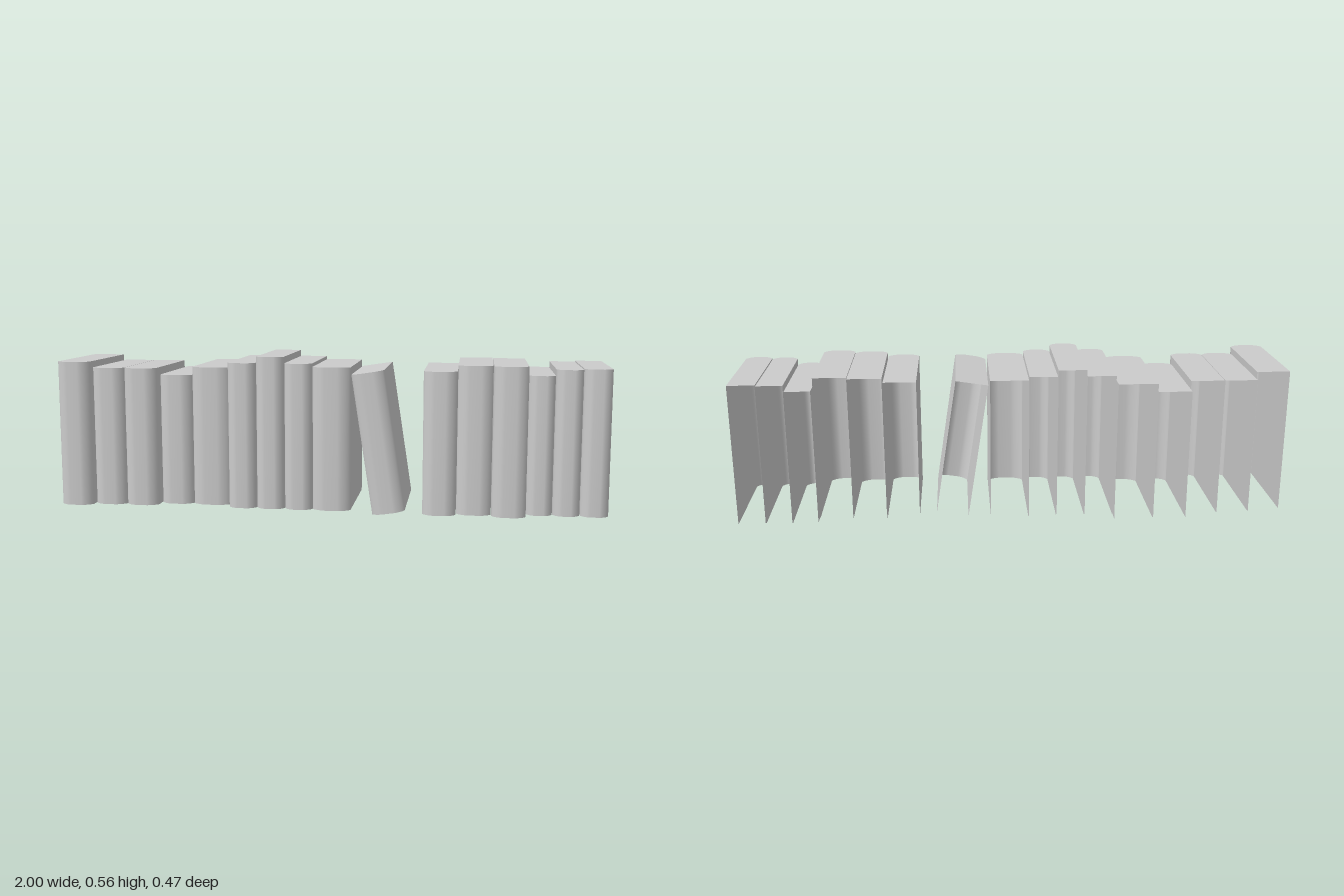
import * as THREE from 'three';
import { mergeGeometries } from 'three/addons/utils/BufferGeometryUtils.js';

// Unit book shell: sides, rounded spine (+z) and top; open at the back and underneath
function bookGeometry() {
  const half = [[-0.5, -0.5], [-0.5, 0.42], [-0.5, 0.437], [-0.45, 0.457], [-0.37, 0.477], [-0.27, 0.493], [-0.17, 0.5]];
  const profile = [...half, ...half.map(([x, z]) => [-x, z]).reverse()];

  // Covers and spine: one strip following the profile
  const pos = [], uv = [], index = [];
  profile.forEach(([x, z], i) => {
    pos.push(x, 0, z, x, 1, z);
    uv.push(i, 0, i, 1);
    if (i < profile.length - 1) {
      const a = i * 2;
      index.push(a, a + 2, a + 3, a, a + 3, a + 1);
    }
  });
  const wall = new THREE.BufferGeometry();
  wall.setAttribute('position', new THREE.Float32BufferAttribute(pos, 3));
  wall.setAttribute('uv', new THREE.Float32BufferAttribute(uv, 2));
  wall.setIndex(index);
  wall.computeVertexNormals();

  // Flat top
  const shape = new THREE.Shape(profile.map(([x, z]) => new THREE.Vector2(x, -z)));
  const top = new THREE.ShapeGeometry(shape).rotateX(-Math.PI / 2).translate(0, 1, 0);
  return mergeGeometries([wall, top]);
}

export function createModel() {
  const group = new THREE.Group();
  group.name = 'bookRow';
  const material = new THREE.MeshStandardMaterial({ color: 0xcccccc, side: THREE.DoubleSide });
  const geometry = bookGeometry();

  function addBook(name, width, height, back, front) {
    const book = new THREE.Mesh(geometry, material);
    book.name = name;
    book.scale.set(width, height, front - back);
    book.position.z = (front + back) / 2;
    group.add(book);
    return book;
  }

  // Upright books: left edge, right edge, top, back, front
  const base = 0.007;
  const books = [
    [-1, -0.88, 0.54, -0.168, 0.232],
    [-0.877, -0.759, 0.517, -0.194, 0.204],
    [-0.757, -0.636, 0.517, -0.194, 0.204],
    [-0.633, -0.513, 0.49, -0.234, 0.163],
    [-0.511, -0.369, 0.52, -0.234, 0.163],
    [-0.367, -0.264, 0.54, -0.194, 0.204],
    [-0.262, -0.16, 0.563, -0.194, 0.204],
    [-0.158, -0.057, 0.54, -0.194, 0.204],
    [-0.055, 0.083, 0.528, -0.194, 0.204],
    [0.345, 0.463, 0.52, -0.168, 0.232],
    [0.465, 0.588, 0.54, -0.187, 0.21],
    [0.59, 0.71, 0.54, -0.168, 0.232],
    [0.712, 0.804, 0.505, -0.214, 0.183],
    [0.806, 0.9, 0.527, -0.214, 0.183],
    [0.902, 1, 0.53, -0.214, 0.183],
  ];
  books.forEach(([x0, x1, top, back, front], i) => {
    const book = addBook(`book${i + 1}`, x1 - x0, top - base, back, front);
    book.position.x = (x0 + x1) / 2;
    book.position.y = base;
  });

  // Leaning book
  const lean = addBook('leaningBook', 0.118, 0.51, -0.168, 0.232);
  lean.position.x = 0.224;
  lean.position.y = 0.009;
  lean.rotation.z = 0.152;

  return group;
}
